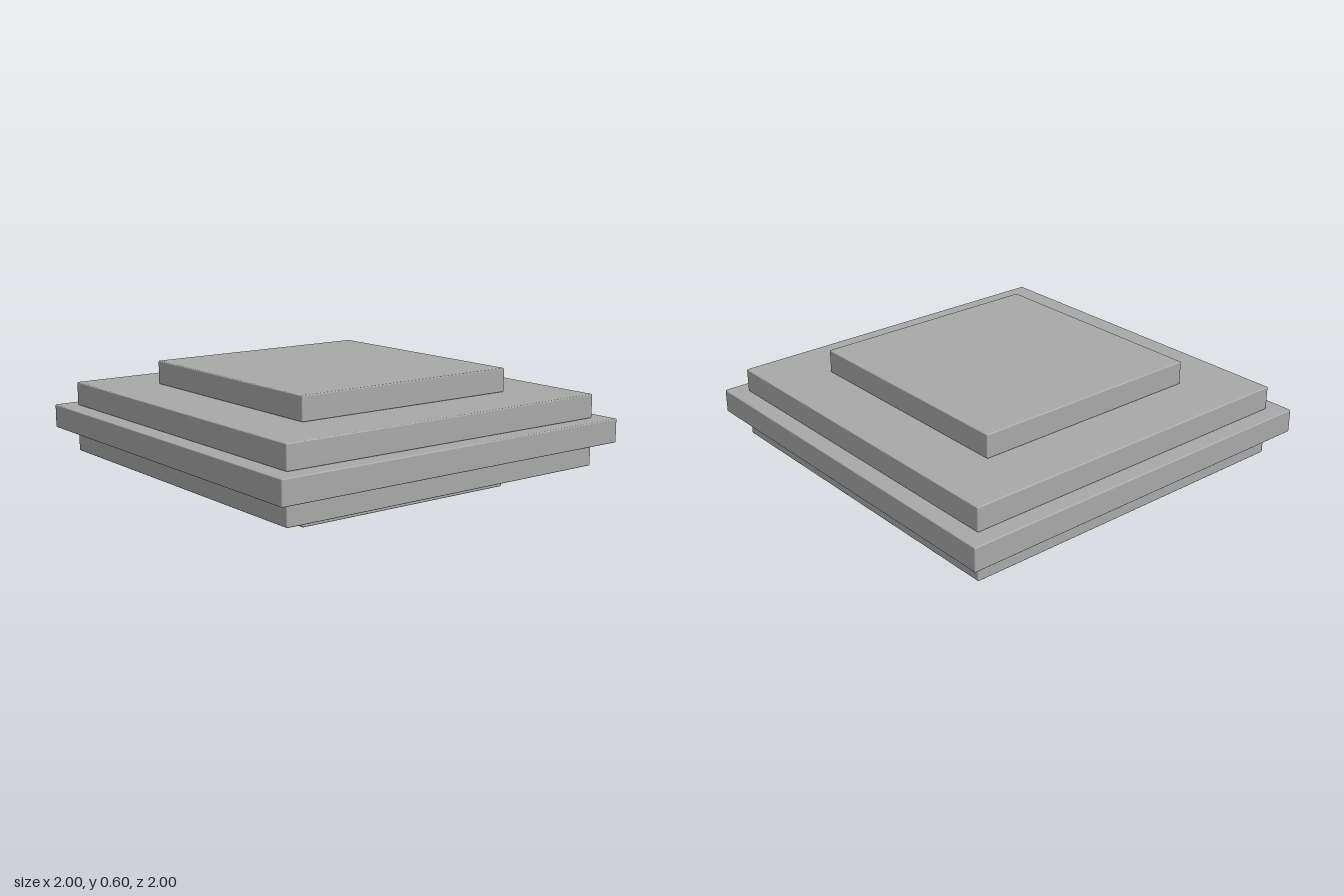
import * as THREE from 'three';
import { RoundedBoxGeometry } from 'three/addons/geometries/RoundedBoxGeometry.js';

export function createModel() {
  const group = new THREE.Group();
  group.name = 'steppedSlabs';
  const grey = new THREE.MeshStandardMaterial({ color: 0xaaaaaa });
  grey.name = 'grey';

  // Five square slabs stacked symmetrically, widest in the middle
  const layers = [
    ['bottomSlab', 1.225],
    ['lowerSlab', 1.83],
    ['middleSlab', 2],
    ['upperSlab', 1.83],
    ['topSlab', 1.225],
  ];
  const height = 0.119;
  layers.forEach(([name, width], i) => {
    // Slightly eased edges
    const slab = new THREE.Mesh(new RoundedBoxGeometry(width, height, width, 2, 0.006), grey);
    slab.name = name;
    slab.position.y = height * (i + 0.5);
    group.add(slab);
  });
  return group;
}
